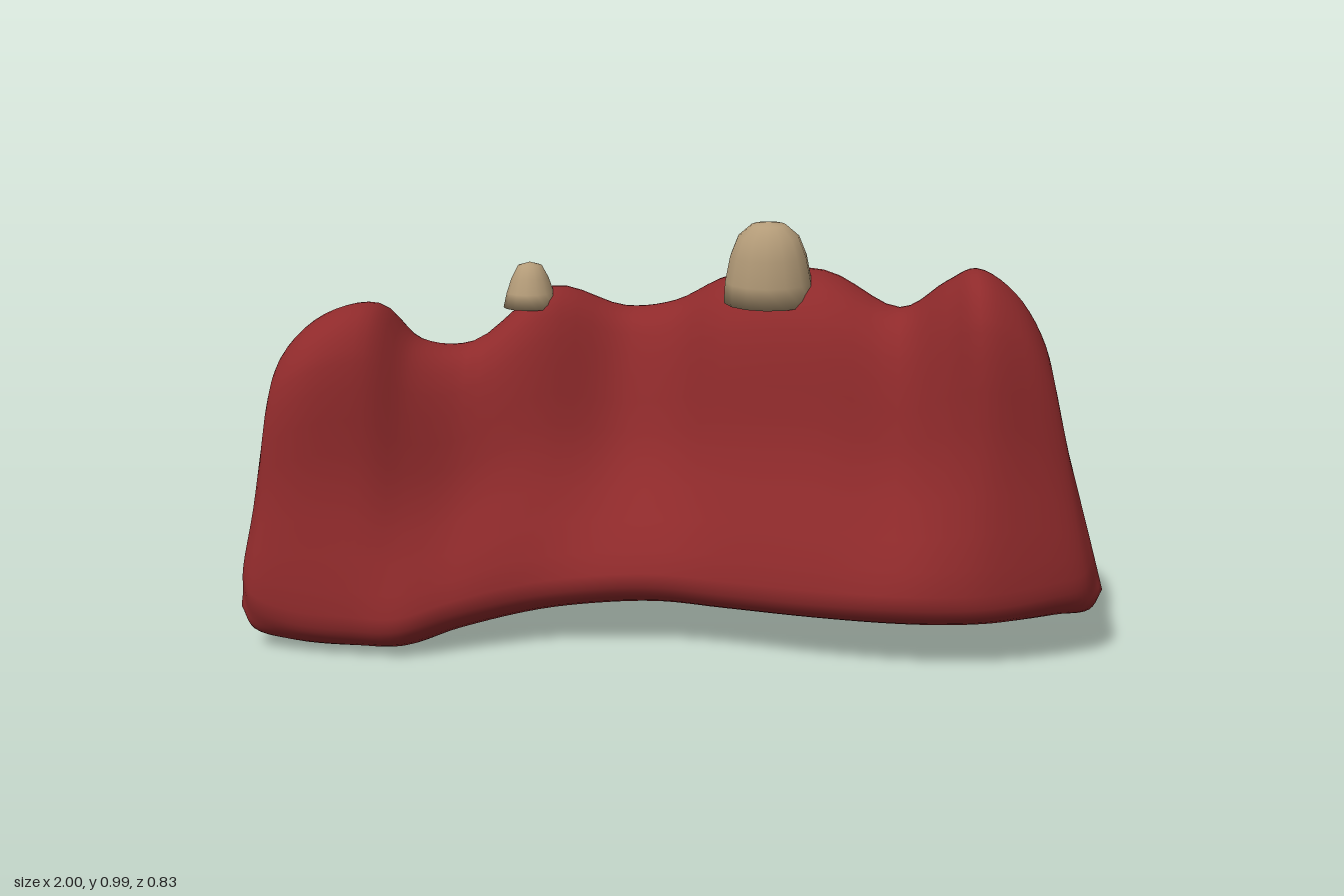
import * as THREE from 'three';

const { lerp, smoothstep } = THREE.MathUtils;

// Gum cross-sections from the model's right (-x) to its left (+x):
// x, base y, crest y, then z of front foot, front shoulder, back shoulder, back foot
const SECTIONS = [
  [-1.00, 0.09, 0.56, 0.35, 0.30, 0.20, 0.22],
  [-0.97, 0.04, 0.68, 0.38, 0.33, 0.13, 0.14],
  [-0.87, 0.01, 0.77, 0.40, 0.345, 0.07, -0.02],
  [-0.72, 0.00, 0.79, 0.41, 0.31, 0.02, -0.13],
  [-0.61, 0.00, 0.70, 0.41, 0.25, -0.01, -0.23],
  [-0.49, 0.03, 0.685, 0.36, 0.18, -0.06, -0.32],
  [-0.31, 0.06, 0.81, 0.29, 0.11, -0.13, -0.385],
  [-0.14, 0.08, 0.755, 0.28, 0.03, -0.18, -0.41],
  [-0.02, 0.085, 0.77, 0.28, 0.05, -0.19, -0.42],
  [0.12, 0.08, 0.84, 0.30, 0.13, -0.19, -0.415],
  [0.34, 0.08, 0.86, 0.355, 0.18, -0.17, -0.405],
  [0.52, 0.08, 0.785, 0.38, 0.20, -0.06, -0.355],
  [0.64, 0.08, 0.86, 0.375, 0.27, 0.02, -0.31],
  [0.75, 0.085, 0.895, 0.36, 0.32, 0.04, -0.25],
  [0.89, 0.10, 0.84, 0.31, 0.29, 0.06, -0.14],
  [0.97, 0.11, 0.72, 0.26, 0.25, 0.09, -0.01],
  [1.00, 0.15, 0.58, 0.21, 0.21, 0.12, 0.05],
];

// Closed outline of one cross-section, up the front and down the back;
// sections near the ends lean inward with height
function outline([x, yF, yT, zF, zCF, zCB, zB]) {
  const depth = zF - zB, yK = yF + 0.03;
  const lean = (x > 0 ? -0.12 : 0.07) * smoothstep(Math.abs(x), 0.55, 0.95);
  const front = (h) => lerp(yF, yT, h), back = (h) => lerp(yK, yT, h);
  const points = [
    [zF - 0.2 * depth, yF], [zF - 0.02, yF + 0.04], [zF, yF + 0.1],
    [lerp(zCF, zF, 0.33), front(0.5)], [zCF, front(0.85)],
    [lerp(zCF, zCB, 0.2), front(0.965)], [lerp(zCF, zCB, 0.48), yT], [lerp(zCF, zCB, 0.76), back(0.965)],
    [zCB, back(0.85)], [lerp(zCB, zB, 0.48), back(0.5)],
    [zB, yK + 0.1], [zB + 0.02, yK + 0.03], [zB + 0.2 * depth, yK],
  ].map(([z, y]) => new THREE.Vector3(x + lean * (y - yF) / (yT - yF), y, z));
  return new THREE.CatmullRomCurve3(points, true);
}

// Smooth skin lofted through the cross-sections, closed at both ends
function gumGeometry(around = 52, along = 80) {
  const curves = SECTIONS.map(outline);
  const rails = [];
  for (let j = 0; j < around; j++) {
    rails.push(new THREE.CatmullRomCurve3(curves.map((c) => c.getPoint(j / around))));
  }
  const positions = [], index = [];
  for (let i = 0; i <= along; i++) {
    for (const rail of rails) positions.push(...rail.getPoint(i / along).toArray());
  }
  for (let i = 0; i < along; i++) {
    for (let j = 0; j < around; j++) {
      const k = (j + 1) % around;
      const a = i * around + j, b = a + around, c = (i + 1) * around + k, d = i * around + k;
      index.push(a, b, c, a, c, d);
    }
  }
  // End caps fan out from the middle of the first and last rings
  for (const row of [0, along]) {
    const centre = new THREE.Vector3();
    for (const rail of rails) centre.addScaledVector(rail.getPoint(row / along), 1 / around);
    const hub = positions.length / 3;
    positions.push(...centre.toArray());
    for (let j = 0; j < around; j++) {
      const a = row * around + j, b = row * around + (j + 1) % around;
      index.push(hub, ...(row === 0 ? [a, b] : [b, a]));
    }
  }
  const geometry = new THREE.BufferGeometry();
  geometry.setAttribute('position', new THREE.Float32BufferAttribute(positions, 3));
  geometry.setIndex(index);
  geometry.computeVertexNormals();
  return geometry;
}

// Rounded peg tooth, with its root sunk into the gum
function makeTooth(name, material, profile, x, y, z, depthScale, tilt) {
  const points = profile.map(([r, h]) => new THREE.Vector2(r, h));
  const tooth = new THREE.Mesh(new THREE.LatheGeometry(points, 14), material);
  tooth.name = name;
  tooth.position.set(x, y, z);
  tooth.scale.z = depthScale;
  tooth.rotation.x = tilt;
  return tooth;
}

export function createModel() {
  const gumRed = new THREE.MeshStandardMaterial({ color: 0x8f2a2b });
  gumRed.name = 'gum red';
  const toothIvory = new THREE.MeshStandardMaterial({ color: 0xb39b78 });
  toothIvory.name = 'tooth ivory';

  const model = new THREE.Group();
  model.name = 'gumWithTeeth';

  const gum = new THREE.Mesh(gumGeometry(), gumRed);
  gum.name = 'gum';
  model.add(gum);

  model.add(makeTooth('largeTooth', toothIvory,
    [[0, 0], [0.105, 0], [0.102, 0.05], [0.09, 0.11], [0.072, 0.155], [0.04, 0.183], [0, 0.19]],
    0.215, 0.795, 0.08, 0.84, 0.1));
  model.add(makeTooth('smallTooth', toothIvory,
    [[0, 0], [0.064, 0], [0.056, 0.035], [0.044, 0.07], [0.028, 0.1], [0, 0.108]],
    -0.355, 0.765, 0.03, 1, 0));
  return model;
}
